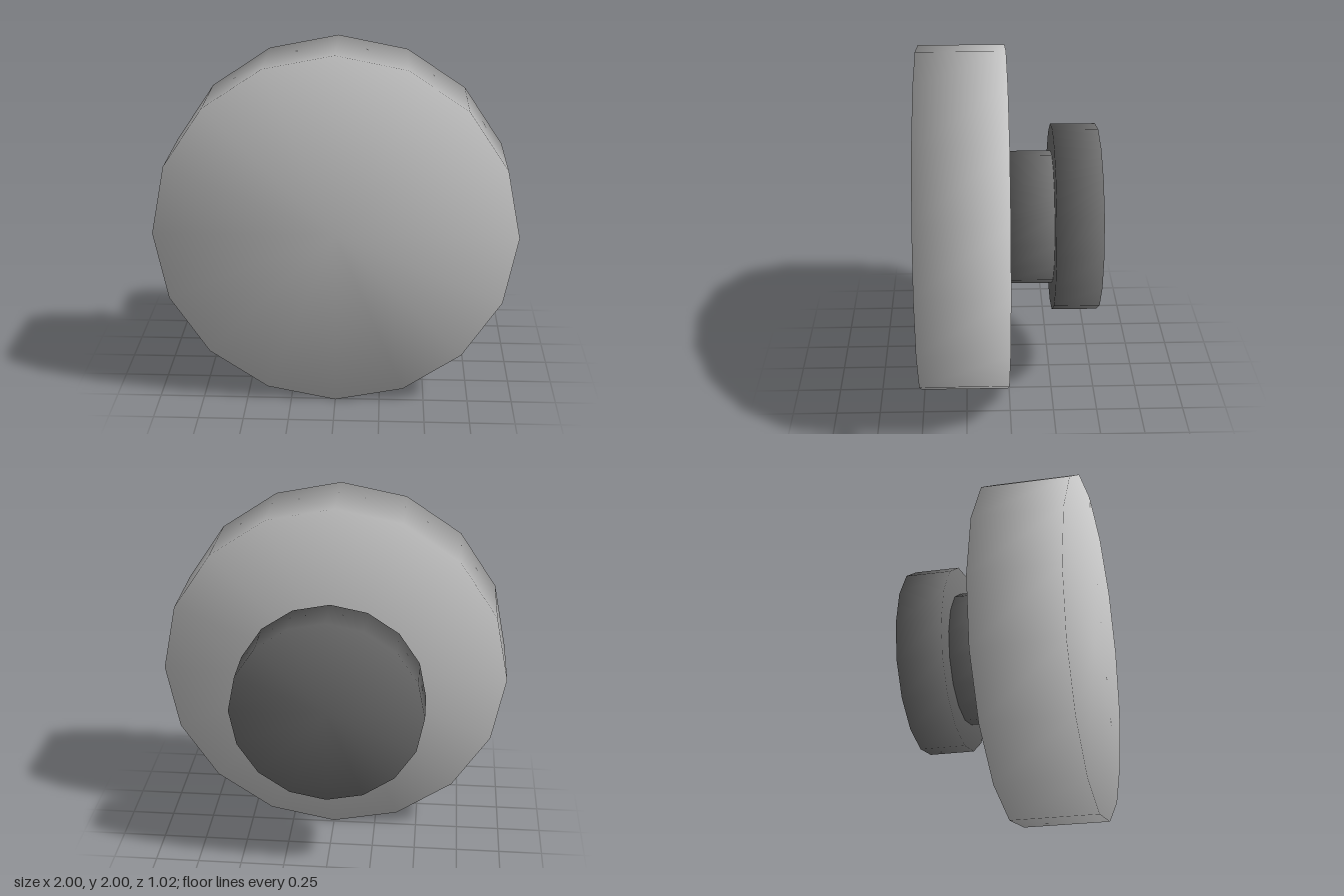
import * as THREE from 'three';

const SIDES = 16;
const AXIS_Y = 1;

// Low-poly round slab along z, with normals blended over its edges.
function slab(name, radius, zBack, zFront, material) {
  const profile = [
    new THREE.Vector2(0, zBack),
    new THREE.Vector2(radius, zBack),
    new THREE.Vector2(radius, zFront),
    new THREE.Vector2(0, zFront),
  ];
  const geometry = new THREE.LatheGeometry(profile, SIDES);
  geometry.rotateX(Math.PI / 2);
  const mesh = new THREE.Mesh(geometry, material);
  mesh.name = name;
  mesh.position.y = AXIS_Y;
  return mesh;
}

export function createModel() {
  const group = new THREE.Group();
  group.name = 'roundKnob';
  const light = new THREE.MeshStandardMaterial({ color: 0xcccccc });
  const dark = new THREE.MeshStandardMaterial({ color: 0x717171 });

  // Large front disc, narrow neck, and the wider cap behind it
  group.add(
    slab('frontDisc', 1, 0.01, 0.51, light),
    slab('neck', 0.385, -0.25, 0.01, dark),
    slab('backCap', 0.54, -0.51, -0.25, dark),
  );
  return group;
}
